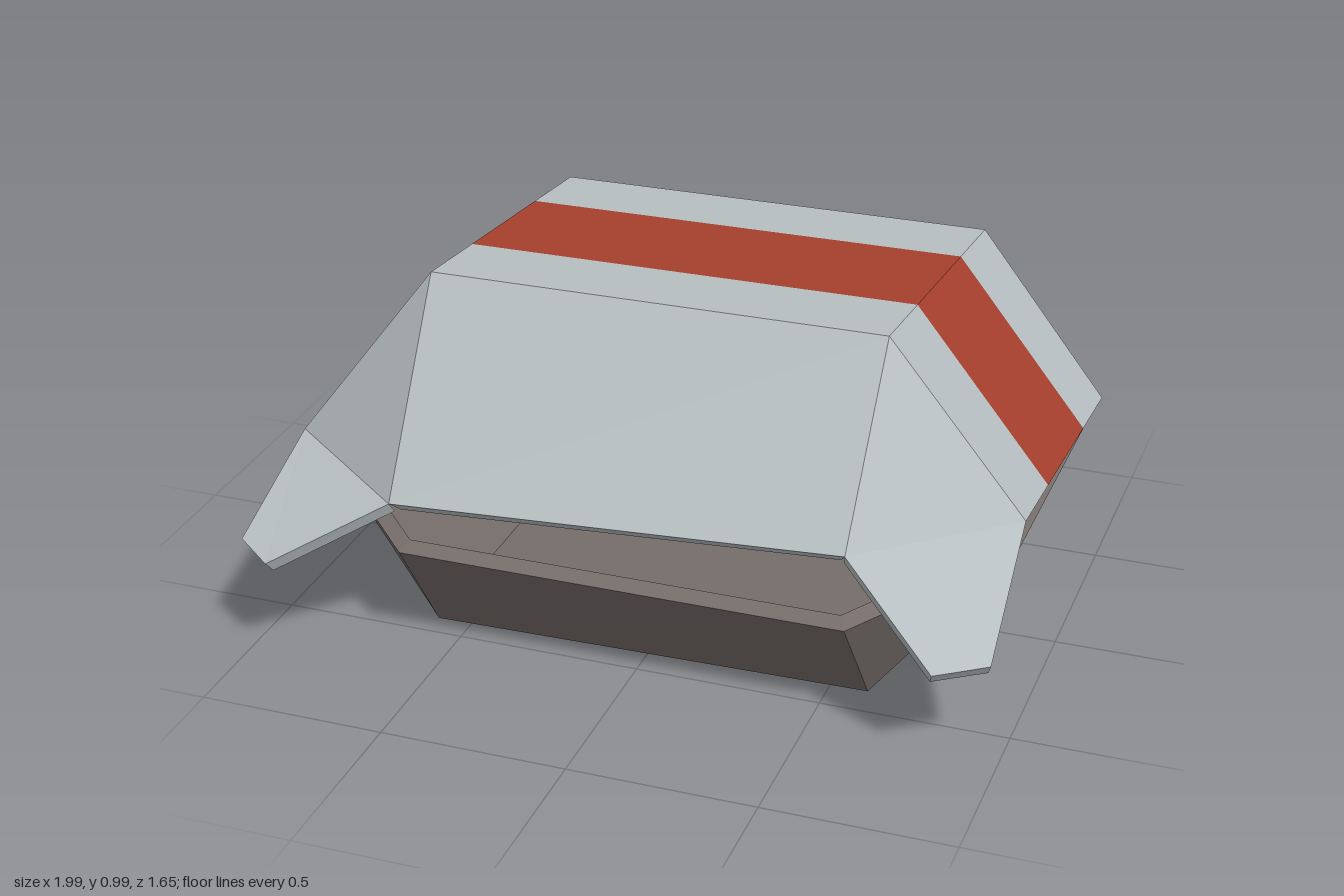
import * as THREE from 'three';

const V = (x, y, z) => new THREE.Vector3(x, y, z);

const paint = (name, color) => {
  const m = new THREE.MeshStandardMaterial({ color, flatShading: true });
  m.name = name;
  return m;
};

// Adds a polygon as a triangle fan, wound so that it faces along dir
function addFace(out, pts, dir) {
  const n = V(0, 0, 0);
  for (let i = 1; i < pts.length - 1; i++) {
    n.add(pts[i].clone().sub(pts[0]).cross(pts[i + 1].clone().sub(pts[0])));
  }
  const p = n.dot(dir) < 0 ? [...pts].reverse() : pts;
  for (let i = 1; i < p.length - 1; i++) {
    for (const v of [p[0], p[i], p[i + 1]]) out.push(v.x, v.y, v.z);
  }
}

const middle = (pts) => pts.reduce((s, p) => s.add(p), V(0, 0, 0)).divideScalar(pts.length);

// A plate with an outer skin, an inner skin and closed edges where listed
function addPlate(skin, body, pts, inset, edges = []) {
  const inner = pts.map(inset);
  const c = middle(pts);
  const inward = middle(inner).sub(c);
  addFace(skin, pts, inward.clone().negate());
  addFace(body, inner, inward);
  for (const i of edges) {
    const j = (i + 1) % pts.length;
    const dir = pts[i].clone().add(pts[j]).multiplyScalar(0.5).sub(c);
    addFace(body, [pts[i], pts[j], inner[j], inner[i]], dir);
  }
}

function toMesh(name, positions, material) {
  const g = new THREE.BufferGeometry();
  g.setAttribute('position', new THREE.Float32BufferAttribute(positions, 3));
  g.computeVertexNormals();
  const mesh = new THREE.Mesh(g, material);
  mesh.name = name;
  return mesh;
}

const atZ = (a, b, z) => a.clone().lerp(b, (z - a.z) / (b.z - a.z));

// Hollow half shell. cap: left front, left back, right back, right front.
// rim: left front, left back, back left, back right, right back, right front, front right, front left.
function makeShell(name, { cap, rim, lift, capStripe, rimStripe, fangs }, material, red) {
  const body = [], stripe = [];
  const inset = (p) => V(p.x * 0.97, p.y + lift, p.z * 0.95);
  const [lf, lb, rb, rf] = cap;
  const [A, B, C, D, E, F, G, H] = rim;

  // Splits a panel running front to back into plain, stripe, plain
  const striped = (f1, b1, f2, b2, z1, z2, edges) => {
    const s1 = [f1, ...z1.map((z) => atZ(f1, b1, z)), b1];
    const s2 = [f2, ...z2.map((z) => atZ(f2, b2, z)), b2];
    for (let i = 0; i < 3; i++) {
      addPlate(i === 1 ? stripe : body, body, [s1[i], s1[i + 1], s2[i + 1], s2[i]], inset, edges);
    }
  };
  striped(lf, lb, rf, rb, capStripe, capStripe, []);
  striped(A, B, lf, lb, rimStripe, capStripe, [0]);
  striped(F, E, rf, rb, rimStripe, capStripe, [0]);

  // End walls and corner triangles
  addPlate(body, body, [C, D, rb, lb], inset, [0]);
  addPlate(body, body, [G, H, lf, rf], inset, [0]);
  addPlate(body, body, [B, C, lb], inset, [0]);
  addPlate(body, body, [D, E, rb], inset, [0]);
  addPlate(body, body, [F, G, rf], inset, fangs ? [] : [0]);
  addPlate(body, body, [H, A, lf], inset, fangs ? [] : [0]);

  const group = new THREE.Group();
  group.name = name;
  group.add(toMesh(name + 'Body', body, material), toMesh(name + 'Stripe', stripe, red));
  return group;
}

export function createModel() {
  const grey = paint('light grey', 0xb9c1c4);
  const dark = paint('dark warm grey', 0x766d6a);
  const red = paint('stripe red', 0xa8402e);
  const model = new THREE.Group();
  model.name = 'hingedShell';

  // Upper shell
  const upper = [
    V(0.985, 0.56, 0.39), V(0.98, 0.47, -0.54), V(0.6, 0.57, -0.78), V(-0.6, 0.55, -0.775),
    V(-0.98, 0.45, -0.54), V(-0.98, 0.49, 0.395), V(-0.6, 0.475, 0.685), V(0.61, 0.545, 0.685),
  ];
  model.add(makeShell('upperShell', {
    cap: [V(0.615, 0.99, 0.36), V(0.615, 0.895, -0.6), V(-0.605, 0.89, -0.6), V(-0.605, 0.985, 0.36)],
    rim: upper, lift: -0.03, capStripe: [0.1, -0.335], rimStripe: [0.14, -0.29], fangs: true,
  }, grey, red));

  // Fangs continue the front corners downwards
  const fangInset = (p) => V(p.x * 0.99, p.y - 0.03, p.z * 0.97);
  const fang = (name, pts) => {
    const out = [];
    addPlate(out, out, pts, fangInset, [0, 1, 2]);
    model.add(toMesh(name, out, grey));
  };
  fang('leftFang', [upper[0], V(0.975, 0.29, 0.65), V(0.85, 0.29, 0.74), upper[7]]);
  fang('rightFang', [upper[5], V(-1, 0.33, 0.74), V(-0.89, 0.32, 0.825), upper[6]]);

  // Lower shell
  const lower = [
    V(0.955, 0.435, 0.34), V(0.96, 0.435, -0.53), V(0.6, 0.49, -0.83), V(-0.57, 0.5, -0.795),
    V(-0.96, 0.435, -0.53), V(-0.96, 0.435, 0.34), V(-0.6, 0.31, 0.64), V(0.6, 0.31, 0.64),
  ];
  model.add(makeShell('lowerShell', {
    cap: [V(0.605, 0.01, 0.42), V(0.605, 0.01, -0.54), V(-0.595, 0, -0.54), V(-0.595, 0, 0.43)],
    rim: lower, lift: 0.025, capStripe: [0.145, -0.29], rimStripe: [0.13, -0.315], fangs: false,
  }, dark, red));

  // Rear flap rising from the lower shell's back edge
  const flap = [];
  addPlate(flap, flap, [lower[2], lower[3], V(-0.33, 0.81, -0.74), V(0.44, 0.76, -0.765)],
    (p) => V(p.x, p.y - 0.008, p.z + 0.034), [0, 1, 2, 3]);
  model.add(toMesh('rearFlap', flap, dark));

  return model;
}
